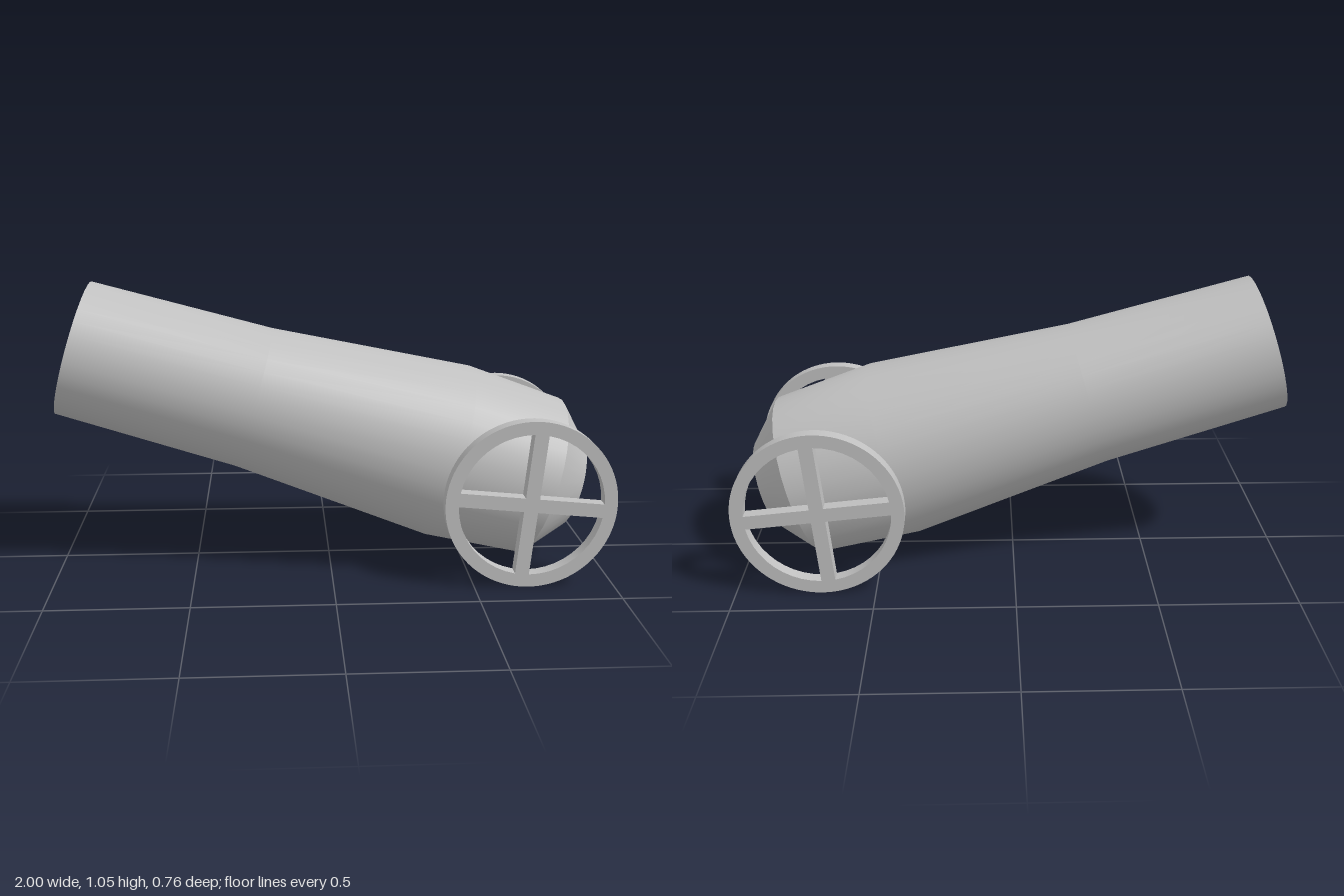
import * as THREE from 'three';
import { toCreasedNormals } from 'three/addons/utils/BufferGeometryUtils.js';

const SIDES = 32;
const TILT = THREE.MathUtils.degToRad(16.5);

// One smooth band of the barrel; points are [radius, distance from muzzle]
function band(name, points, material) {
  const profile = points.map(([r, t]) => new THREE.Vector2(r, t));
  const mesh = new THREE.Mesh(new THREE.LatheGeometry(profile, SIDES), material);
  mesh.name = name;
  return mesh;
}

// Flat rim with four quarter openings that leave crossed spokes
function wheelGeometry(radius, inner, halfSpoke, depth) {
  const shape = new THREE.Shape().absarc(0, 0, radius, 0, Math.PI * 2, false);
  const a = Math.asin(halfSpoke / inner);
  const steps = 10;
  for (let q = 0; q < 4; q++) {
    const turn = q * Math.PI / 2;
    const origin = new THREE.Vector2();
    const pts = [new THREE.Vector2(halfSpoke, halfSpoke).rotateAround(origin, turn)];
    for (let i = 0; i <= steps; i++) {
      const ang = turn + a + (Math.PI / 2 - 2 * a) * i / steps;
      pts.push(new THREE.Vector2(Math.cos(ang) * inner, Math.sin(ang) * inner));
    }
    shape.holes.push(new THREE.Path(pts));
  }
  const geo = new THREE.ExtrudeGeometry(shape, { depth, bevelEnabled: false, curveSegments: 40 });
  geo.translate(0, 0, -depth / 2);
  return toCreasedNormals(geo, Math.PI / 6);
}

export function createModel() {
  const model = new THREE.Group();
  model.name = 'cannon';
  const metal = new THREE.MeshStandardMaterial({ color: 0xc0c0c0 });
  metal.name = 'grey metal';

  // Barrel, tilted with the muzzle raised towards -x
  const barrel = new THREE.Group();
  barrel.name = 'barrel';
  barrel.add(
    band('barrelBody', [[0.25, 0], [0.265, 0.678], [0.33, 1.43], [0.305, 1.797]], metal),
    band('breechTaper', [[0.305, 1.797], [0.17, 1.93]], metal),
    band('breechCap', [[0.17, 1.93], [0, 1.93]], metal),
    band('boreEnd', [[0, 1.43], [0.2, 1.43]], metal),
    band('bore', [[0.2, 1.43], [0.2, 0]], metal),
    band('muzzleRing', [[0.2, 0], [0.25, 0]], metal)
  );
  barrel.position.set(-0.93, 0.81, 0);
  barrel.rotation.z = -(Math.PI / 2 + TILT);
  model.add(barrel);

  // Pair of wheels beside the breech
  const wheelGeo = wheelGeometry(0.305, 0.258, 0.025, 0.048);
  for (const side of [1, -1]) {
    const wheel = new THREE.Mesh(wheelGeo, metal);
    wheel.name = side > 0 ? 'frontWheel' : 'backWheel';
    wheel.position.set(0.693, 0.307, side * 0.358);
    wheel.rotation.z = THREE.MathUtils.degToRad(-5.5);
    model.add(wheel);
  }
  return model;
}
